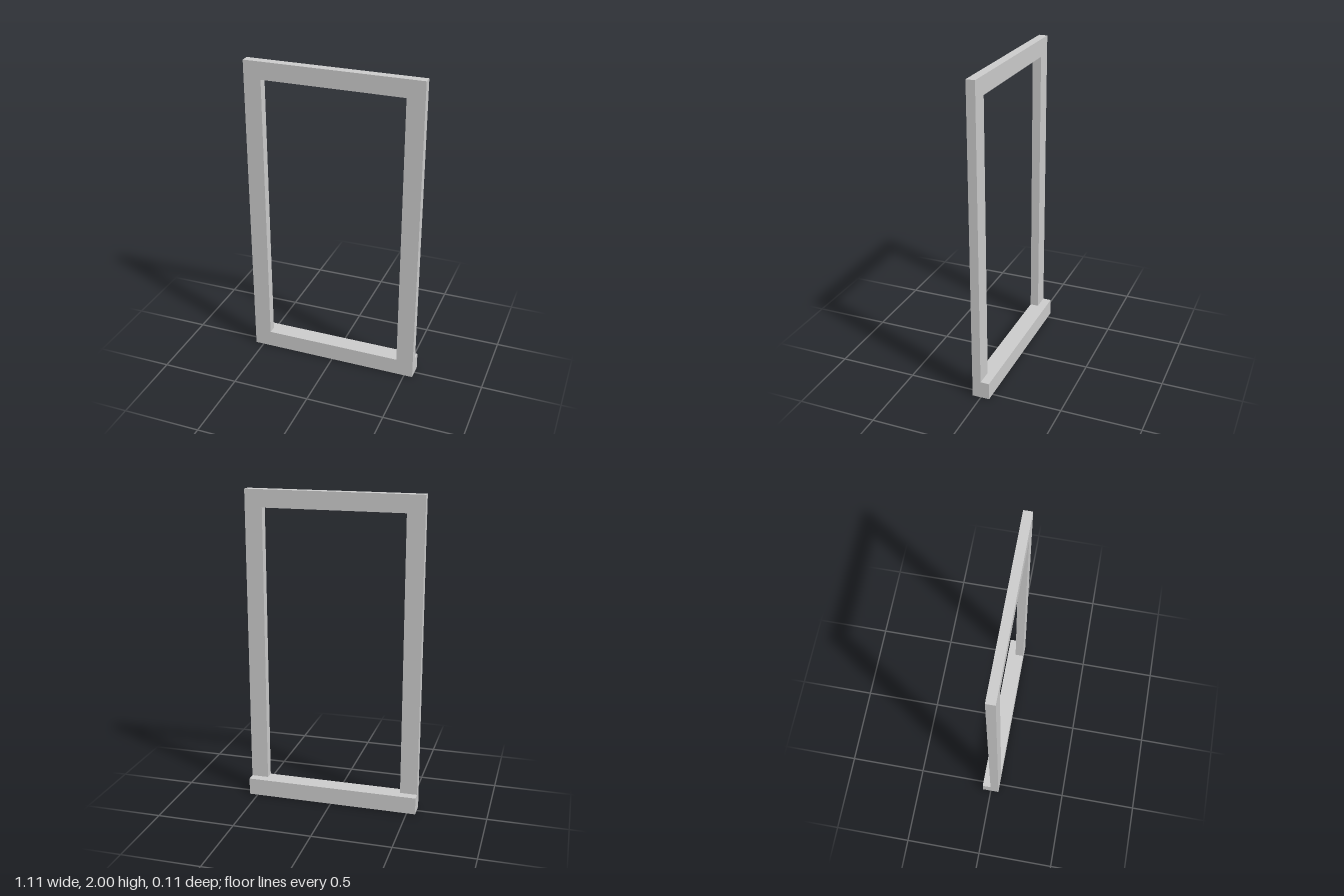
import * as THREE from 'three';

const HALF_W = 0.555, HEIGHT = 2, BAR = 0.11, DEPTH = 0.055;

export function createModel() {
  const group = new THREE.Group();
  group.name = 'windowFrame';
  const material = new THREE.MeshStandardMaterial({ color: 0xcccccc, flatShading: true });

  const add = (name, geometry) => {
    const mesh = new THREE.Mesh(geometry, material);
    mesh.name = name;
    group.add(mesh);
    return mesh;
  };

  // Two jambs and the head, cut as one arch that stands on the sill
  const inner = HALF_W - BAR;
  const arch = new THREE.Shape([
    [-HALF_W, BAR], [-inner, BAR], [-inner, HEIGHT - BAR], [inner, HEIGHT - BAR],
    [inner, BAR], [HALF_W, BAR], [HALF_W, HEIGHT], [-HALF_W, HEIGHT],
  ].map(([x, y]) => new THREE.Vector2(x, y)));
  add('jambsAndHead', new THREE.ExtrudeGeometry(arch, { depth: DEPTH, bevelEnabled: false }));

  // Sill, twice as deep, flush at the front and projecting at the back
  add('sill', new THREE.BoxGeometry(HALF_W * 2, BAR, DEPTH * 2)).position.y = BAR / 2;

  return group;
}
